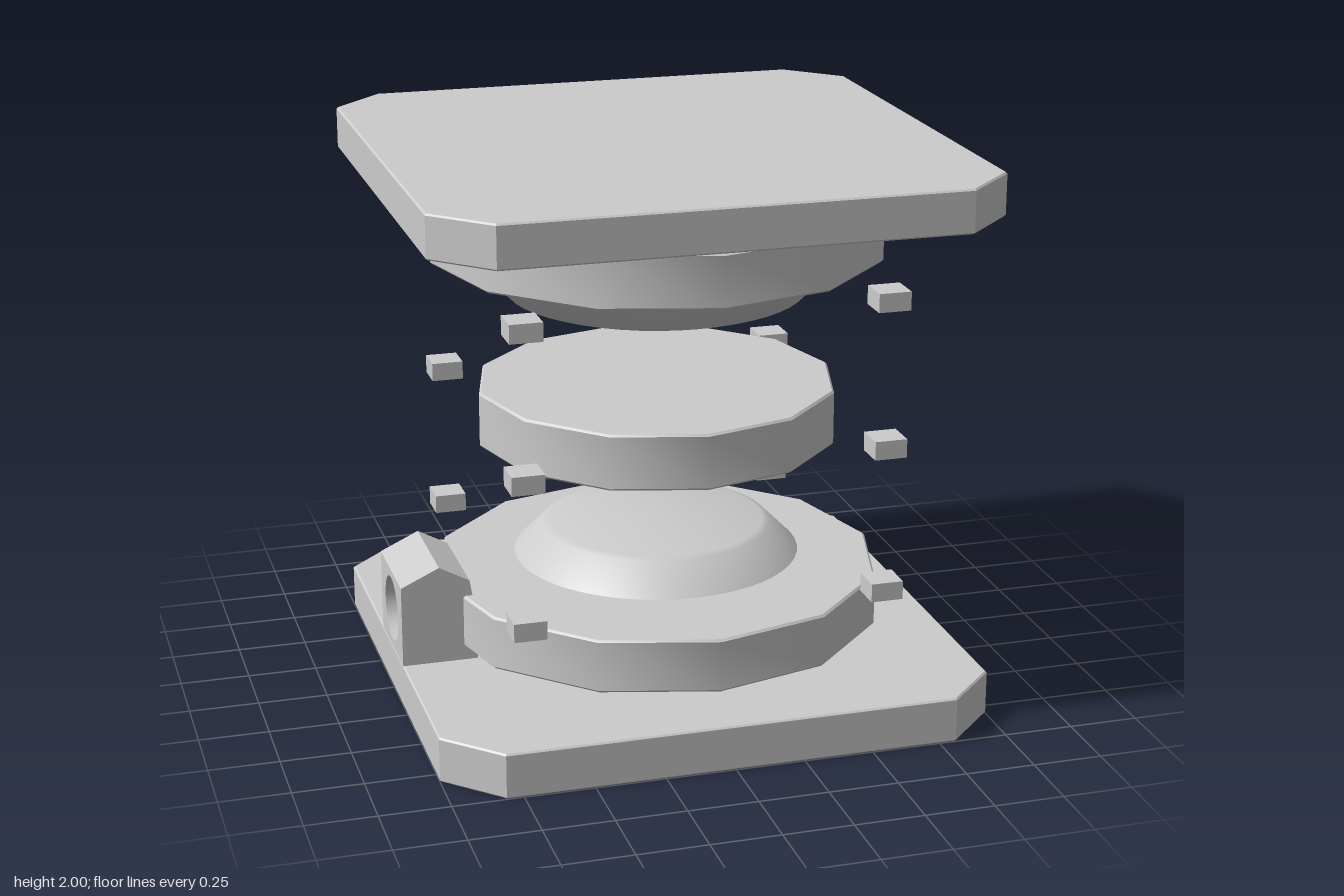
import * as THREE from 'three';
import { toCreasedNormals } from 'three/addons/utils/BufferGeometryUtils.js';

const grey = new THREE.MeshStandardMaterial({ color: 0xcccccc });
grey.name = 'plain grey';

function add(parent, name, geometry) {
  const mesh = new THREE.Mesh(geometry, grey);
  mesh.name = name;
  parent.add(mesh);
  return mesh;
}

const shapeOf = (points) => new THREE.Shape(points.map(([x, y]) => new THREE.Vector2(x, y)));

// Solid of revolution from [radius, y] points, bottom to top
function turned(points, sides) {
  const profile = points.map(([r, y]) => new THREE.Vector2(r, y));
  return toCreasedNormals(new THREE.LatheGeometry(profile, sides), 0.6);
}

// Disc with a fine chamfer on both rims
function disc(radius, bottom, top) {
  const b = 0.008;
  return turned([
    [0, bottom], [radius - b, bottom], [radius, bottom + b],
    [radius, top - b], [radius - b, top], [0, top],
  ], 12);
}

// Square plate with cut corners
function plate(bottom, top) {
  const b = 0.006, h = 1 - b, c = 0.808;
  const shape = shapeOf([[h, -c], [h, c], [c, h], [-c, h], [-h, c], [-h, -c], [-c, -h], [c, -h]]);
  const geometry = new THREE.ExtrudeGeometry(shape, {
    depth: top - bottom - 2 * b, bevelEnabled: true,
    bevelThickness: b, bevelSize: b, bevelSegments: 1,
  });
  geometry.rotateX(-Math.PI / 2);
  geometry.translate(0, bottom + b, 0);
  return geometry;
}

export function createModel() {
  const model = new THREE.Group();
  model.name = 'explodedAssembly';

  // Outer plates
  add(model, 'bottomPlate', plate(0, 0.165));
  add(model, 'topPlate', plate(1.845, 2));

  // Stacked discs
  add(model, 'lowerDisc', disc(0.825, 0.215, 0.412));
  add(model, 'middleDisc', disc(0.66, 0.903, 1.108));
  add(model, 'upperDisc', disc(0.825, 1.6, 1.795));

  // Tapered inserts
  add(model, 'lowerCone', turned([
    [0, 0.45], [0.525, 0.45], [0.42, 0.556], [0.395, 0.565], [0, 0.565],
  ], 48));
  add(model, 'upperCone', turned([
    [0, 1.443], [0.515, 1.443], [0.54, 1.452], [0.65, 1.56], [0, 1.56],
  ], 48));

  // Four corner pegs on each of three levels
  for (const [level, y] of [['lower', 0.471], ['middle', 1.005], ['upper', 1.541]]) {
    const pegs = new THREE.Group();
    pegs.name = `${level}Pegs`;
    for (const x of [-0.65, 0.65]) {
      for (const z of [-0.65, 0.65]) {
        add(pegs, 'peg', new THREE.BoxGeometry(0.117, 0.068, 0.117)).position.set(x, y, z);
      }
    }
    model.add(pegs);
  }

  // Side housing with a ridged roof
  const housing = new THREE.Group();
  housing.name = 'sideHousing';
  const body = new THREE.ExtrudeGeometry(shapeOf([
    [-0.95, 0.165], [-0.725, 0.165], [-0.74, 0.41], [-0.75, 0.47],
    [-0.86, 0.53], [-1, 0.465], [-0.95, 0.465],
  ]), { depth: 0.38, bevelEnabled: false });
  body.translate(0, 0, -0.19);
  add(housing, 'housingBody', body);

  // Outer face with a round recess
  const face = shapeOf([[-0.19, 0.165], [0.19, 0.165], [0.19, 0.465], [-0.19, 0.465]]);
  face.holes.push(new THREE.Path().absarc(0, 0.315, 0.12, 0, Math.PI * 2, true));
  const faceGeometry = new THREE.ExtrudeGeometry(face, { depth: 0.05, bevelEnabled: false, curveSegments: 24 });
  faceGeometry.rotateY(-Math.PI / 2);
  faceGeometry.translate(-0.95, 0, 0);
  add(housing, 'housingFace', toCreasedNormals(faceGeometry, 0.6));
  model.add(housing);

  return model;
}
